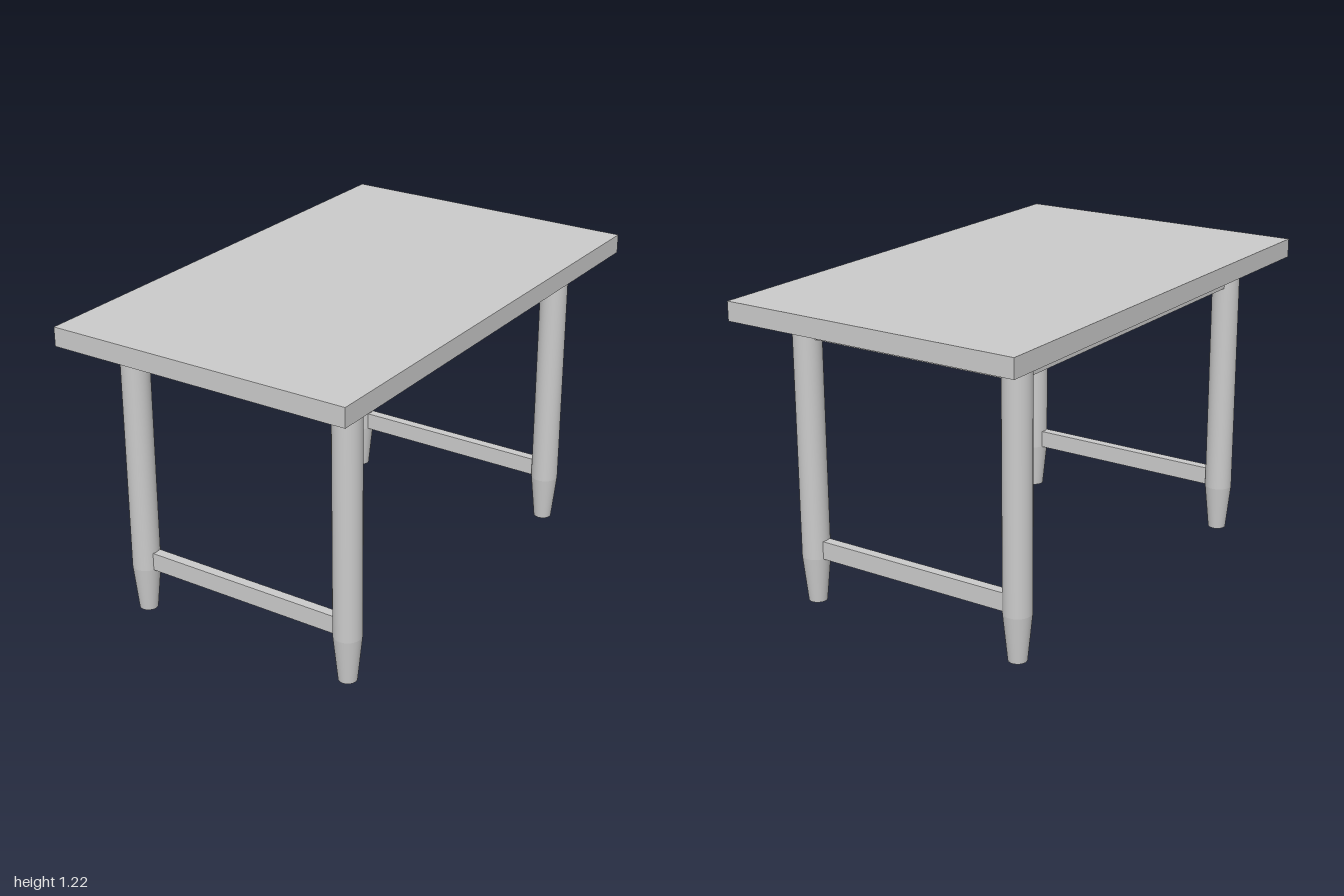
import * as THREE from 'three';

export function createModel() {
  const model = new THREE.Group();
  model.name = 'table';
  const material = new THREE.MeshStandardMaterial({ color: 0xcccccc });

  const legX = 0.465, legZ = 0.755, legR = 0.055, footR = 0.036;
  const taperY = 0.185, underside = 1.145, topY = 1.22;
  const railDepth = 0.04;

  function add(name, geometry, x, y, z) {
    const mesh = new THREE.Mesh(geometry, material);
    mesh.name = name;
    mesh.position.set(x, y, z);
    model.add(mesh);
  }

  // Box rail between two heights
  function rail(name, w, y0, y1, d, x, z) {
    add(name, new THREE.BoxGeometry(w, y1 - y0, d), x, (y0 + y1) / 2, z);
  }

  // Flat top
  rail('tableTop', 1.24, underside, topY, 2, 0, 0);

  // Round legs with tapered feet
  const shaft = new THREE.CylinderGeometry(legR, legR, underside - taperY, 32);
  const foot = new THREE.CylinderGeometry(legR, footR, taperY, 32);
  for (const sx of [1, -1]) {
    for (const sz of [1, -1]) {
      const side = (sz > 0 ? 'front' : 'back') + (sx > 0 ? 'Left' : 'Right');
      add(side + 'Leg', shaft, sx * legX, (taperY + underside) / 2, sz * legZ);
      add(side + 'Foot', foot, sx * legX, taperY / 2, sz * legZ);
    }
  }

  // Aprons under the top, and low stretchers at both ends; rails meet inside the legs
  const spanX = 2 * (legX - 0.03), spanZ = 2 * (legZ - 0.03);
  for (const s of [1, -1]) {
    const end = s > 0 ? 'front' : 'back';
    rail(end + 'Apron', spanX, 1.055, underside, railDepth, 0, s * legZ);
    rail(end + 'Stretcher', spanX, taperY, 0.257, railDepth, 0, s * legZ);
    rail((s > 0 ? 'left' : 'right') + 'Apron', railDepth, 1.055, underside, spanZ, s * legX, 0);
  }
  return model;
}
